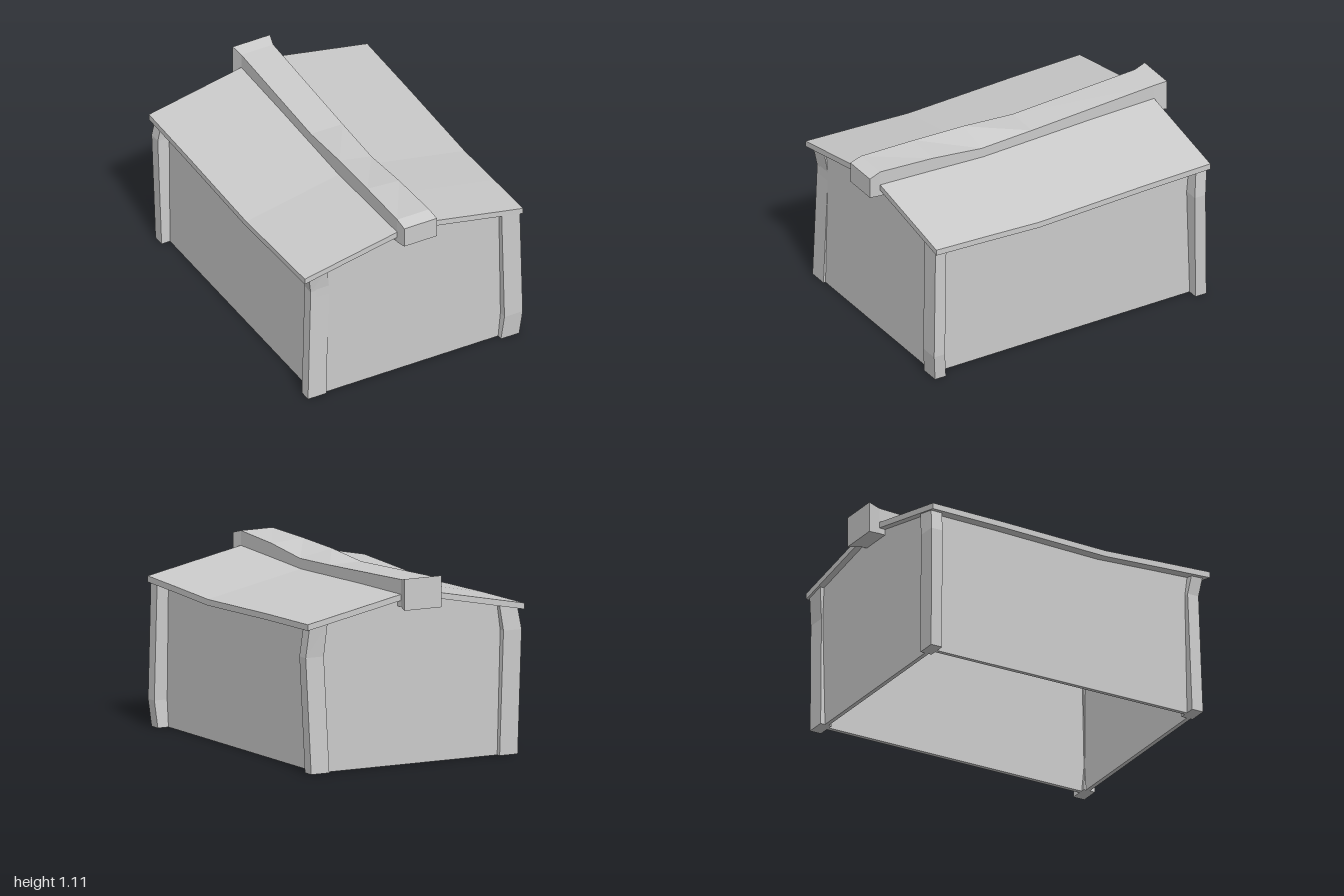
import * as THREE from 'three';

const material = new THREE.MeshStandardMaterial({ color: 0xcccccc, flatShading: true });

// Joins four-cornered cross-sections into a closed, faceted solid.
// Corners run counter-clockwise as seen from the last section's end.
function loft(name, rings) {
  const pos = [];
  const quad = (a, b, c, d) => pos.push(...a, ...b, ...c, ...a, ...c, ...d);
  for (let s = 0; s < rings.length - 1; s++) {
    const a = rings[s], b = rings[s + 1];
    for (let i = 0; i < 4; i++) {
      const j = (i + 1) % 4;
      quad(a[i], a[j], b[j], b[i]);
    }
  }
  const first = rings[0], last = rings[rings.length - 1];
  quad(first[3], first[2], first[1], first[0]);
  quad(last[0], last[1], last[2], last[3]);
  const geometry = new THREE.BufferGeometry();
  geometry.setAttribute('position', new THREE.Float32BufferAttribute(pos, 3));
  geometry.computeVertexNormals();
  const mesh = new THREE.Mesh(geometry, material);
  mesh.name = name;
  return mesh;
}

// Sag of the roof along its length: [z, drop]
const SAG = [[-0.925, 0], [-0.45, 0.009], [-0.1, 0.02], [0.23, 0.03], [0.58, 0.014], [0.925, 0]];
const THICK = 0.036;
const roofTop = (x) => 1.023 - 0.199 * Math.abs(x);
const roofUnder = (x) => roofTop(x) - THICK;

// One slope of the roof between x0 and x1
function roofSlope(name, x0, x1) {
  return loft(name, SAG.map(([z, drop]) => [
    [x0, roofUnder(x0) - drop, z], [x1, roofUnder(x1) - drop, z],
    [x1, roofTop(x1) - drop, z], [x0, roofTop(x0) - drop, z],
  ]));
}

// Crooked ridge beam: [z, x0, x1, bottom, top at x0, top at x1]
function ridgeBeam() {
  const sections = [
    [-1, -0.125, 0.12, 0.92, 1.105, 1.105],
    [-0.925, -0.11, 0.1, 0.93, 1.09, 1.09],
    [-0.1, -0.11, 0.1, 0.915, 1.05, 1.047],
    [0.24, -0.11, 0.1, 0.905, 1.075, 1.033],
    [0.57, -0.11, 0.1, 0.915, 1.085, 1.07],
    [0.925, -0.11, 0.1, 0.93, 1.09, 1.09],
    [1, -0.105, 0.11, 0.945, 1.07, 1.07],
  ];
  return loft('ridgeBeam', sections.map(([z, x0, x1, yb, yl, yr]) =>
    [[x0, yb, z], [x1, yb, z], [x1, yr, z], [x0, yl, z]]));
}

// Corner post with one kink; levels are [y, outer |x|, outer |z|]
function cornerPost(name, sx, sz, levels) {
  return loft(name, levels.map(([y, ox, oz], i) => {
    const xs = [sx * ox, sx * (ox - 0.12)].sort((a, b) => a - b);
    const zs = [sz * oz, sz * (oz - 0.073)].sort((a, b) => a - b);
    // The top is cut to the slope of the roof
    const h = (x) => (i === levels.length - 1 ? roofUnder(x) + 0.003 : y);
    return [
      [xs[0], h(xs[0]), zs[0]], [xs[0], h(xs[0]), zs[1]],
      [xs[1], h(xs[1]), zs[1]], [xs[1], h(xs[1]), zs[0]],
    ];
  }));
}

export function createModel() {
  const group = new THREE.Group();
  group.name = 'shed';

  const wx = 0.625, wz = 0.886, t = 0.025;

  // Side walls, following the sag of the roof
  for (const s of [-1, 1]) {
    const [x0, x1] = s > 0 ? [wx - t, wx] : [-wx, -wx + t];
    const stations = SAG.map(([z, d]) => [THREE.MathUtils.clamp(z, -wz + t, wz - t), d]);
    group.add(loft(s > 0 ? 'leftWall' : 'rightWall', stations.map(([z, d]) => {
      const top = roofUnder(wx) - d + 0.012;
      return [[x0, 0, z], [x1, 0, z], [x1, top, z], [x0, top, z]];
    })));
  }

  // Gable walls
  for (const s of [-1, 1]) {
    const [z0, z1] = s > 0 ? [wz - t, wz] : [-wz, -wz + t];
    group.add(loft(s > 0 ? 'frontWall' : 'backWall', [-wx, 0, wx].map((x) => {
      const top = roofUnder(x) + 0.003;
      return [[x, 0, z0], [x, top, z0], [x, top, z1], [x, 0, z1]];
    })));
  }

  // Bent corner posts
  group.add(
    cornerPost('frontLeftPost', 1, 1, [[0, 0.695, 0.92], [0.16, 0.71, 0.935], [0.85, 0.7, 0.92]]),
    cornerPost('frontRightPost', -1, 1, [[0, 0.683, 0.9], [0.74, 0.657, 0.885], [0.85, 0.677, 0.9]]),
    cornerPost('backLeftPost', 1, -1, [[0, 0.69, 0.915], [0.68, 0.715, 0.895], [0.85, 0.7, 0.912]]),
    cornerPost('backRightPost', -1, -1, [[0, 0.68, 0.915], [0.73, 0.7, 0.925], [0.85, 0.68, 0.915]]),
  );

  // Roof
  group.add(roofSlope('leftRoof', 0, 0.718), roofSlope('rightRoof', -0.718, 0), ridgeBeam());
  return group;
}
